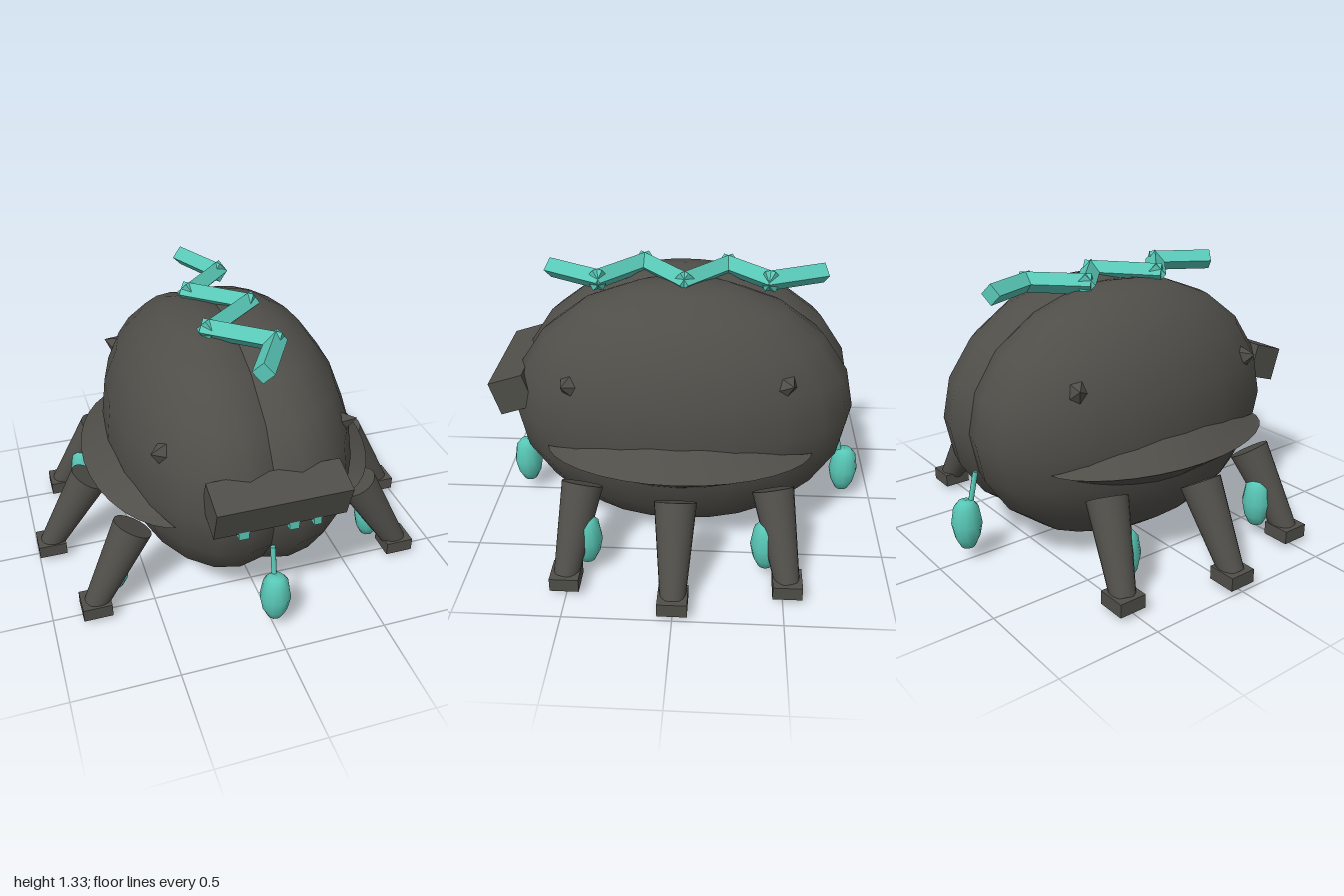
import * as THREE from 'three';

export function createModel() {
  const model = new THREE.Group();
  const dark = new THREE.MeshStandardMaterial({ color: 0x4f4e49 });
  dark.name = 'charcoal';
  const teal = new THREE.MeshStandardMaterial({ color: 0x58c7b6 });
  teal.name = 'teal';
  const V = (x, y, z) => new THREE.Vector3(x, y, z);
  const UP = V(0, 1, 0);

  function add(name, geometry, material, position, parent = model) {
    const mesh = new THREE.Mesh(geometry, material);
    mesh.name = name;
    if (position) mesh.position.copy(position);
    parent.add(mesh);
    return mesh;
  }

  // Tapered rod between two points; four sides give a faceted bar
  function rod(name, a, b, ra, rb, sides, material, parent = model) {
    const dir = b.clone().sub(a);
    let geo = new THREE.CylinderGeometry(rb, ra, dir.length(), sides);
    if (sides < 6) {
      geo = geo.toNonIndexed();
      geo.computeVertexNormals();
    }
    const mesh = add(name, geo, material, a.clone().add(b).multiplyScalar(0.5), parent);
    mesh.quaternion.setFromUnitVectors(UP, dir.normalize());
    return mesh;
  }

  // Body shell: two overlapping ellipsoid lobes with a seam between them
  const C = { x: 0.12, y: 0.645 }, R = { x: 0.47, y: 0.64, z: 0.84 };
  const shellX = (y, z) =>
    C.x + R.x * Math.sqrt(Math.max(0, 1 - (z / R.z) ** 2 - ((y - C.y) / R.y) ** 2));
  for (const s of [1, -1]) {
    const geo = new THREE.SphereGeometry(1, 20, 10).scale(R.x, R.y, R.z);
    add('bodyLobe', geo, dark, V(s * C.x, C.y, 0));
  }

  // Pointed side fin: ridge on the shell, sharp outer rim, underside
  function finGeometry(s) {
    const n = 16, pos = [], index = [];
    for (const [rise, power] of [[0.11, 1.2], [-0.13, 1]]) {
      const start = pos.length / 3;
      for (let i = 0; i <= n; i++) {
        const t = -Math.cos((Math.PI * i) / n);
        const z = 0.63 * t, k = Math.max(0, 1 - t * t);
        const y = 0.54 + rise * k ** power;
        pos.push(s * (shellX(y, z) - 0.01), y, z);
        pos.push(s * (0.41 + 0.31 * k ** 0.6), 0.54, z);
        if (i < n) {
          const a = start + i * 2;
          if (s * rise > 0) index.push(a, a + 2, a + 1, a + 1, a + 2, a + 3);
          else index.push(a, a + 1, a + 2, a + 1, a + 3, a + 2);
        }
      }
    }
    const geo = new THREE.BufferGeometry();
    geo.setAttribute('position', new THREE.Float32BufferAttribute(pos, 3));
    geo.setIndex(index);
    geo.computeVertexNormals();
    return geo;
  }
  for (const s of [1, -1]) add('sideFin', finGeometry(s), dark);

  // Legs with square feet: foot x, foot z, hip x, hip z
  for (const s of [1, -1]) {
    for (const [fx, fz, hx, hz] of [
      [0.79, 0.507, 0.575, 0.445],
      [0.93, 0, 0.7, 0],
      [0.79, -0.52, 0.575, -0.445],
    ]) {
      const leg = new THREE.Group();
      leg.name = 'leg';
      model.add(leg);
      rod('legShaft', V(s * fx, 0.07, fz), V(s * hx, 0.44, hz), 0.058, 0.098, 20, dark, leg);
      add('foot', new THREE.BoxGeometry(0.14, 0.066, 0.136), dark, V(s * fx, 0.063, fz), leg);
    }
  }

  // Hanging pods with stalks: pod x, pod z, stalk top x, stalk top z
  const profile = [[0, 0.08], [0.035, 0.08], [0.06, 0.13], [0.074, 0.2], [0.06, 0.285], [0.035, 0.315], [0, 0.318]]
    .map(([x, y]) => new THREE.Vector2(x, y));
  const pods = [[0, 0.84, 0, 0.785], [0, -0.845, 0, -0.785]];
  for (const s of [1, -1])
    for (const f of [1, -1]) pods.push([s * 0.672, f * 0.42, s * 0.62, f * 0.4]);
  for (const [x, z, tx, tz] of pods) {
    const pod = new THREE.Group();
    pod.name = 'hangingPod';
    model.add(pod);
    add('podBulb', new THREE.LatheGeometry(profile, 12), teal, V(x, 0, z), pod);
    rod('podStalk', V(x + (tx - x) * 0.4, 0.29, z + (tz - z) * 0.4), V(tx, 0.45, tz), 0.013, 0.013, 8, teal, pod);
  }

  // Snout block tipped forward, with small teeth beneath
  const snout = add('snout', new THREE.BoxGeometry(0.616, 0.172, 0.175), dark, V(0, 0.752, 0.816));
  snout.rotation.x = 0.31;
  for (const [x, w] of [[-0.17, 0.048], [0.062, 0.046], [0.172, 0.036]])
    add('tooth', new THREE.BoxGeometry(w, 0.07, 0.034), teal, V(x, 0.645, 0.858));

  // Small faceted studs on the shell
  for (const s of [1, -1]) {
    for (const [y, z, turn] of [[0.88, 0.515, 0.4], [0.91, -0.5, -0.6]]) {
      const x = shellX(y, z);
      const normal = V((x - C.x) / R.x ** 2, (y - C.y) / R.y ** 2, z / R.z ** 2).normalize();
      normal.x *= s;
      const geo = new THREE.ConeGeometry(0.06, 0.07, 5).toNonIndexed();
      geo.scale(1, 1, 0.8);
      geo.rotateY(turn);
      geo.computeVertexNormals();
      const stud = add('stud', geo, dark, V(s * x, y, z).addScaledVector(normal, 0.015));
      stud.quaternion.setFromUnitVectors(UP, normal);
    }
  }

  // Zigzag crest of diamond-section bars along the back
  const path = [[-0.02, -0.67], [0.1, -0.41], [-0.1, -0.21], [0.135, -0.01], [-0.12, 0.2], [0.125, 0.4], [-0.02, 0.65]]
    .map(([x, z]) => V(x, 1.285, z));
  for (let i = 0; i < path.length - 1; i++) {
    const a = path[i].clone(), b = path[i + 1].clone();
    const step = b.clone().sub(a).normalize().multiplyScalar(0.03);
    if (i > 0) a.sub(step);
    if (i < path.length - 2) b.add(step);
    const length = a.distanceTo(b);
    const geo = new THREE.CylinderGeometry(0.05, 0.05, length, 4).toNonIndexed();
    geo.rotateX(Math.PI / 2);
    geo.computeVertexNormals();
    const bar = add('crestBar', geo, teal, a.clone().add(b).multiplyScalar(0.5));
    bar.lookAt(b);
  }

  return model;
}
